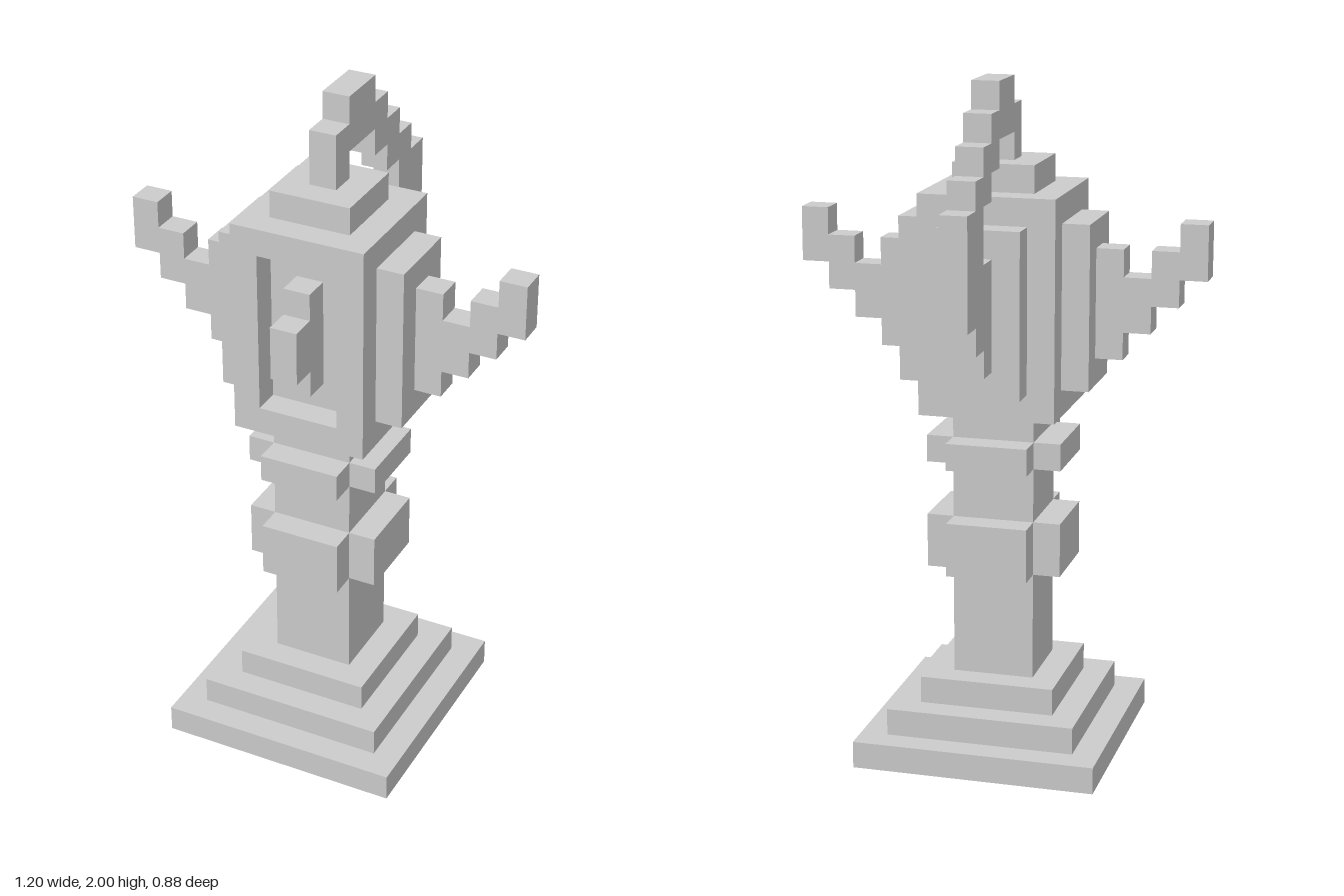
import * as THREE from 'three';

const UNIT = 0.08; // size of one block

export function createModel() {
  const model = new THREE.Group();
  model.name = 'blockTrophy';
  const material = new THREE.MeshStandardMaterial({ color: 0xcccccc, flatShading: true });

  // All sizes below are in blocks, measured from the central axis.
  const blocks = new THREE.Group();
  blocks.name = 'blocks';
  blocks.scale.setScalar(UNIT);
  blocks.position.z = UNIT;
  model.add(blocks);

  function add(name, geometry, turn = 0) {
    const mesh = new THREE.Mesh(geometry, material);
    mesh.name = name;
    mesh.rotation.y = turn;
    blocks.add(mesh);
    return mesh;
  }

  // Box spanning y0..y1, centred on x and z
  function box(name, w, d, y0, y1, x = 0, z = 0) {
    const mesh = add(name, new THREE.BoxGeometry(w, y1 - y0, d));
    mesh.position.set(x, (y0 + y1) / 2, z);
    return mesh;
  }

  const outline = (points) => new THREE.Shape(points.map(([x, y]) => new THREE.Vector2(x, y)));

  // One-block-thick slab with a stepped outline
  function slab(name, shape, turn = 0) {
    const geometry = new THREE.ExtrudeGeometry(shape, { depth: 1, bevelEnabled: false });
    return add(name, geometry.translate(0, 0, -0.5), turn);
  }

  // Stepped base and column
  [9, 7, 5].forEach((w, i) => box('baseStep', w, w, i, i + 1));
  box('column', 3, 3, 3, 13);

  // Collars: one plate on each face of the column, open at the corners
  for (const [y0, y1] of [[7, 9], [11, 12]]) {
    for (const s of [-1, 1]) {
      box('collarSidePlate', 1, 3, y0, y1, 2 * s, 0);
      box('collarPlate', 3, 1, y0, y1, 0, 2 * s);
    }
  }

  // Head: solid core with a recessed frame on its front
  box('head', 5, 4, 13, 21, 0, -0.5);
  const frame = outline([[-2.5, 13], [2.5, 13], [2.5, 21], [-2.5, 21]]);
  frame.holes.push(outline([[-1.5, 14], [-1.5, 20], [1.5, 20], [1.5, 14]]));
  slab('frontFrame', frame).position.z = 2;
  box('spoutStrip', 1, 1, 15, 19, 0, 2);
  box('spoutTip', 1, 1, 16, 18, 0, 3);
  box('backPlate', 3, 1, 14, 20, 0, -3);
  box('lid', 3, 3, 21, 22);

  // Side plates and upturned arms
  const arm = outline([
    [3.5, 15], [4.5, 15], [4.5, 16], [5.5, 16], [5.5, 17], [6.5, 17], [6.5, 18], [7.5, 18],
    [7.5, 20], [6.5, 20], [6.5, 19], [5.5, 19], [5.5, 18], [4.5, 18], [4.5, 19], [3.5, 19],
  ]);
  for (const s of [-1, 1]) {
    box(s > 0 ? 'leftPlate' : 'rightPlate', 1, 3, 14, 20, 3 * s, 0);
    slab(s > 0 ? 'leftArm' : 'rightArm', arm, s > 0 ? 0 : Math.PI);
  }

  // Handle arching from the lid over to the back plate (outline x becomes z)
  const handle = outline([
    [0.5, 22], [0.5, 24], [-0.5, 24], [-0.5, 25], [-2.5, 25], [-2.5, 24], [-3.5, 24],
    [-3.5, 23], [-4.5, 23], [-4.5, 22], [-5.5, 22], [-5.5, 21], [-6.5, 21], [-6.5, 17],
    [-5.5, 17], [-5.5, 16], [-4.5, 16], [-4.5, 15], [-3.5, 15], [-3.5, 19], [-4.5, 19],
    [-4.5, 21], [-3.5, 21], [-3.5, 22], [-2.5, 22], [-2.5, 23], [-0.5, 23], [-0.5, 22],
  ]);
  slab('handle', handle, -Math.PI / 2);

  return model;
}
